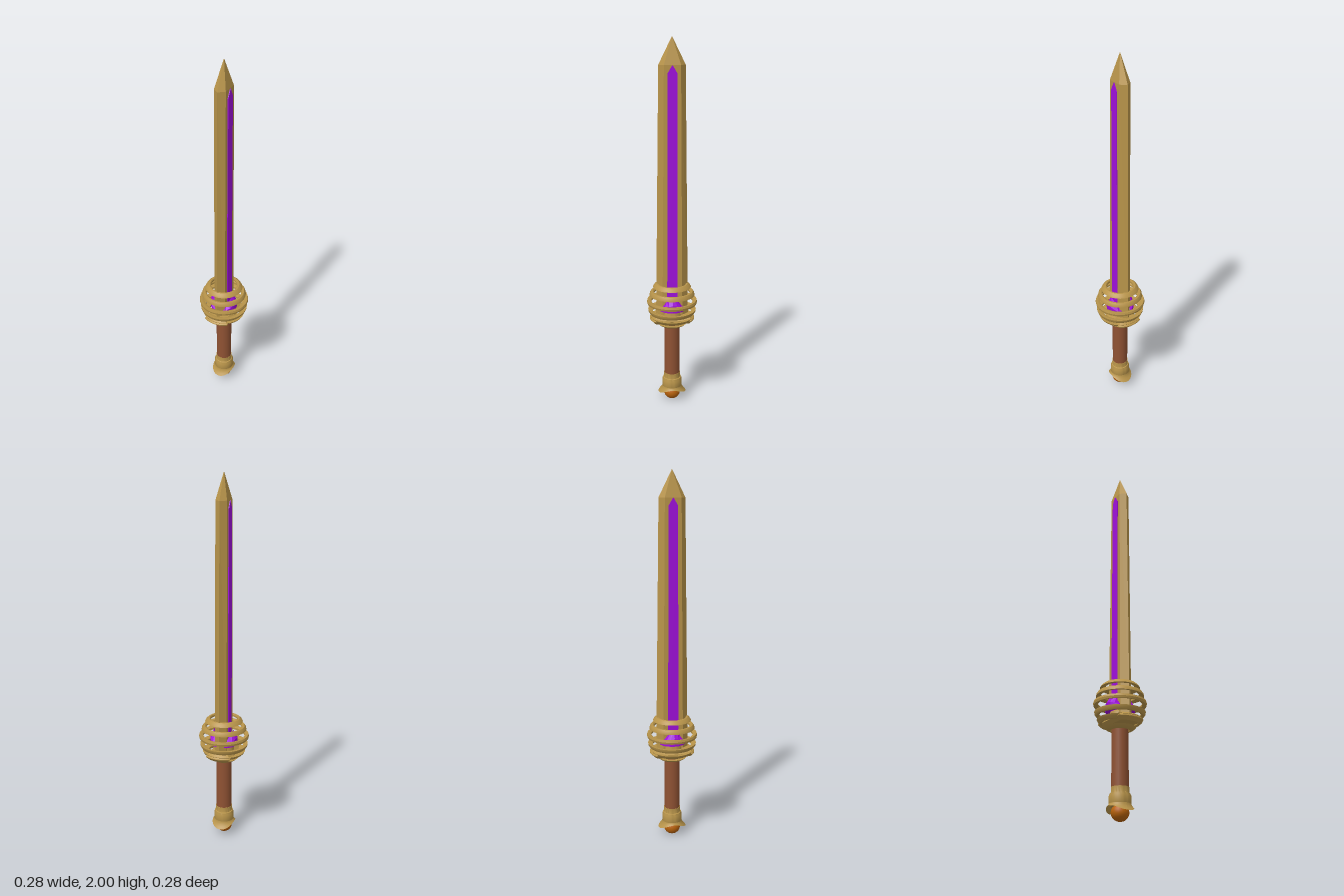
import * as THREE from 'three';
import { toCreasedNormals } from 'three/addons/utils/BufferGeometryUtils.js';

const material = (color) => new THREE.MeshStandardMaterial({ color, side: THREE.DoubleSide });
const gold = material(0xb8944a);
const purple = material(0xa010dc);
const leather = material(0x8f5233);
const amber = material(0xb8620c);

const V = (x, y) => new THREE.Vector2(x, y);
const lathe = (pts, segments = 40) =>
  toCreasedNormals(new THREE.LatheGeometry(pts.map(([r, y]) => V(r, y)), segments), 0.5);

// Joins equal-sized loops of [x, y, z] corners into a faceted skin.
function loft(loops) {
  const n = loops[0].length, pos = [];
  for (let i = 0; i + 1 < loops.length; i++) {
    for (let j = 0; j < n; j++) {
      const k = (j + 1) % n;
      const a = loops[i][j], b = loops[i][k], c = loops[i + 1][k], d = loops[i + 1][j];
      pos.push(...a, ...c, ...b, ...a, ...d, ...c);
    }
  }
  const g = new THREE.BufferGeometry();
  g.setAttribute('position', new THREE.Float32BufferAttribute(pos, 3));
  g.computeVertexNormals();
  return g;
}

export function createModel() {
  const model = new THREE.Group();
  const add = (name, geometry, mat, parent = model) => {
    const mesh = new THREE.Mesh(geometry, mat);
    mesh.name = name;
    parent.add(mesh);
    return mesh;
  };

  // Blade: six-sided section, slightly tapered, closing in a faceted point
  const section = (y, w, e) => [
    [0, y, e], [-w, y, e * 0.62], [-w, y, -e * 0.62],
    [0, y, -e], [w, y, -e * 0.62], [w, y, e * 0.62],
  ];
  add('blade', loft([
    section(0.52, 0, 0), section(0.52, 0.033, 0.088),
    section(1.86, 0.031, 0.07), section(2, 0, 0),
  ]), gold);

  // Glowing inlay on both flat sides
  const inlay = new THREE.Shape([
    V(-0.029, 0.545), V(0.029, 0.545), V(0.024, 1.82), V(0, 1.86), V(-0.024, 1.82),
  ]);
  for (const s of [-1, 1]) {
    const g = new THREE.ExtrudeGeometry(inlay, { depth: 0.006, bevelEnabled: false });
    g.translate(0, 0, -0.003).rotateY(s * Math.PI / 2).translate(s * 0.032, 0, 0);
    add(s > 0 ? 'leftInlay' : 'rightInlay', g, purple);
  }

  // Crescent crystals hugging the blade foot, tallest at the middle
  for (const s of [-1, 1]) {
    const loops = [];
    for (let i = 0; i <= 8; i++) {
      const t = (i / 8 - 0.5) * 2.5;
      const h = 0.012 + 0.07 * Math.cos(t) ** 2;
      const at = (r, y) => [s * r * Math.cos(t), y, r * Math.sin(t)];
      loops.push([at(0.052, 0.545), at(0.076, 0.545), at(0.076, 0.545 + h * 0.5), at(0.054, 0.545 + h)]);
    }
    add(s > 0 ? 'leftCrystal' : 'rightCrystal', loft(loops), purple);
  }

  // Spherical cage made of stacked rings: height, outer radius, half thickness
  const cage = new THREE.Group();
  cage.name = 'ringCage';
  model.add(cage);
  const rings = [
    [0.457, 0.072, 0.008], [0.495, 0.113, 0.01], [0.535, 0.13, 0.011],
    [0.59, 0.138, 0.011], [0.64, 0.122, 0.011], [0.685, 0.098, 0.01],
  ];
  rings.forEach(([y, r, h], i) => {
    const slant = (y - 0.588) * 0.09;
    const g = lathe([
      [r - 0.024, y - h * 0.5], [r - 0.012 + slant, y - h], [r - 0.003 + slant, y - h],
      [r, y], [r - 0.003 - slant, y + h], [r - 0.012 - slant, y + h],
      [r - 0.024, y + h * 0.5], [r - 0.024, y - h * 0.5],
    ], 48);
    add('cageRing' + (i + 1), g, gold, cage);
  });

  // Crossguard: disc cut flat on both sides, with a pointed rim
  const R = 0.105, a = Math.acos(0.052 / R);
  const outline = new THREE.Shape();
  outline.absarc(0, 0, R, a, Math.PI - a, false);
  outline.absarc(0, 0, R, Math.PI + a, -a, false);
  const guard = new THREE.ExtrudeGeometry(outline, {
    depth: 0.004, bevelThickness: 0.018, bevelSize: 0.018, bevelSegments: 1, curveSegments: 12,
  });
  guard.rotateX(-Math.PI / 2).translate(0, 0.493, 0);
  add('crossguard', toCreasedNormals(guard, 0.5), gold);
  add('bladeCollar', lathe([[0, 0.5], [0.058, 0.5], [0.052, 0.54], [0.046, 0.546], [0, 0.546]]), gold);

  // Grip
  const grip = new THREE.CylinderGeometry(0.043, 0.043, 0.34, 24);
  add('grip', grip.translate(0, 0.32, 0), leather);

  // Pommel: stepped collar, flared saddle-shaped skirt and round stone
  add('pommelCollar', lathe([
    [0, 0.07], [0.05, 0.07], [0.055, 0.085], [0.055, 0.122], [0.05, 0.134],
    [0.045, 0.136], [0.045, 0.165], [0, 0.165],
  ]), gold);
  const skirt = new THREE.CylinderGeometry(0.054, 0.07, 1, 40, 4, true);
  const p = skirt.attributes.position;
  for (let i = 0; i < p.count; i++) {
    const t = 0.5 - p.getY(i);
    const ang = Math.atan2(p.getX(i), p.getZ(i));
    const wing = Math.cos(2 * ang);
    const r = 0.054 + (0.016 + 0.007 * wing) * t * t;
    p.setXYZ(i, r * Math.sin(ang), 0.09 - t * (0.031 + 0.014 * wing), r * Math.cos(ang));
  }
  skirt.computeVertexNormals();
  add('pommelSkirt', skirt, gold);
  const stone = new THREE.SphereGeometry(0.045, 24, 16);
  add('pommelStone', stone.scale(1, 0.95, 1).translate(0, 0.043, 0), amber);

  return model;
}
